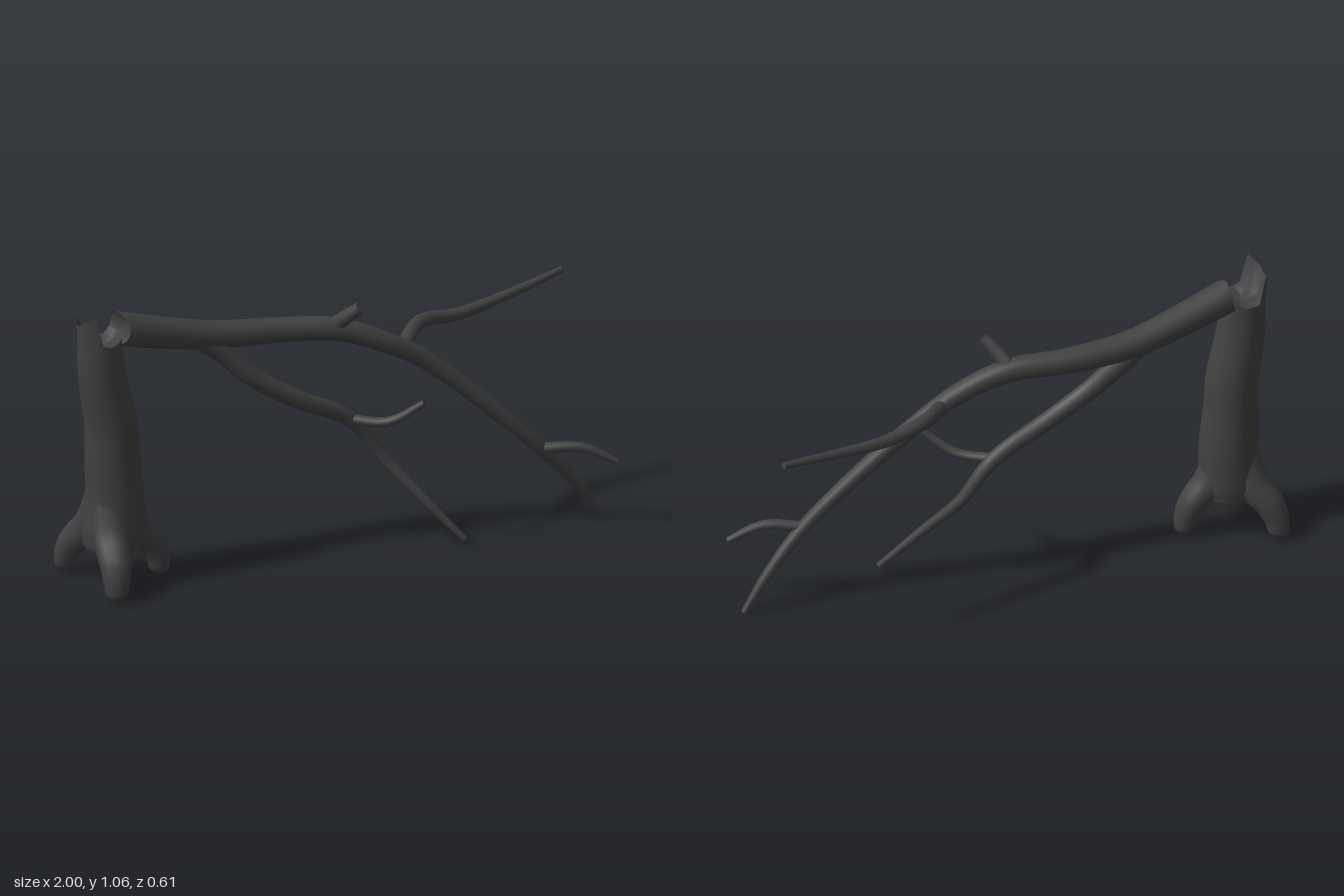
import * as THREE from 'three';

const bark = new THREE.MeshStandardMaterial({ color: 0x404040, side: THREE.DoubleSide });
const { smoothstep } = THREE.MathUtils;

// Tapered limb through knots [x, y, z, radius]; startRim / endRim(angle vector) give a torn, hollowed end.
function limb(name, knots, { sides = 10, steps = 4, startRim, endRim } = {}) {
  const curve = new THREE.CatmullRomCurve3(knots.map(k => new THREE.Vector3(k[0], k[1], k[2])), false, 'centripetal');
  const n = (knots.length - 1) * steps;
  const pos = [], idx = [], rings = [];
  const push = v => pos.push(v.x, v.y, v.z) / 3 - 1;
  const normal = new THREE.Vector3(0, 0, 1);

  for (let i = 0; i <= n; i++) {
    const t = i / n, centre = curve.getPoint(t), tangent = curve.getTangent(t);
    const k = Math.min(Math.floor(i / steps), knots.length - 2);
    const r = THREE.MathUtils.lerp(knots[k][3], knots[k + 1][3], i / steps - k);
    normal.addScaledVector(tangent, -normal.dot(tangent)).normalize();
    const side = tangent.clone().cross(normal);
    const rim = i === 0 ? startRim : i === n ? endRim : null;
    const ring = [];
    for (let j = 0; j < sides; j++) {
      const a = j / sides * Math.PI * 2;
      const dir = normal.clone().multiplyScalar(Math.cos(a)).addScaledVector(side, Math.sin(a));
      const v = centre.clone().addScaledVector(dir, r);
      if (rim) v.addScaledVector(tangent, rim(dir));
      ring.push(v);
    }
    rings.push({ ring, centre, tangent });
  }

  // Side wall
  rings.forEach(({ ring }) => ring.forEach(push));
  for (let i = 0; i < n; i++) for (let j = 0; j < sides; j++) {
    const a = i * sides + j, b = i * sides + (j + 1) % sides;
    idx.push(a, b, a + sides, b, b + sides, a + sides);
  }

  // End caps: flat, or sunk inside a torn rim
  [[rings[0], startRim, -1], [rings[n], endRim, 1]].forEach(([{ ring, centre, tangent }, torn, dir]) => {
    const outer = ring.map(push);
    const inner = ring.map(v => {
      const p = v.clone().lerp(centre, 0.35);
      if (torn) p.addScaledVector(tangent, -0.8 * p.clone().sub(centre).dot(tangent) - dir * 0.01);
      return push(p);
    });
    const mid = push(centre.clone().addScaledVector(tangent, torn ? -dir * 0.015 : 0));
    for (let j = 0; j < sides; j++) {
      const q = (j + 1) % sides;
      const tris = [[outer[j], outer[q], inner[j]], [outer[q], inner[q], inner[j]], [inner[j], inner[q], mid]];
      tris.forEach(([a, b, c]) => (dir > 0 ? idx.push(a, b, c) : idx.push(a, c, b)));
    }
  });

  const geo = new THREE.BufferGeometry();
  geo.setAttribute('position', new THREE.Float32BufferAttribute(pos, 3));
  geo.setIndex(idx);
  geo.computeVertexNormals();
  const mesh = new THREE.Mesh(geo, bark);
  mesh.name = name;
  return mesh;
}

export function createModel() {
  const tree = new THREE.Group();
  tree.name = 'brokenTree';

  // Trunk with a tall splinter left standing on one side of the break
  const trunk = limb('trunk', [
    [-0.85, 0.12, -0.105, 0.05], [-0.85, 0.15, -0.105, 0.105], [-0.845, 0.22, -0.105, 0.115],
    [-0.84, 0.35, -0.105, 0.107], [-0.85, 0.5, -0.105, 0.1], [-0.855, 0.62, -0.105, 0.096],
    [-0.88, 0.75, -0.105, 0.09], [-0.897, 0.87, -0.105, 0.084], [-0.9, 0.94, -0.105, 0.08],
  ], {
    sides: 20,
    endRim: d => smoothstep(-d.x, 0.25, 0.65) * (0.075 + 0.025 * d.z + 0.045 * Math.abs(d.z))
      + 0.025 * smoothstep(d.x, 0.5, 0.9) + 0.008 * Math.sin(d.z * 9),
  });

  // Three roots arching down to rounded feet
  const roots = new THREE.Group();
  roots.name = 'roots';
  roots.add(
    limb('frontRoot', [
      [-0.87, 0.34, -0.09, 0.07], [-0.89, 0.21, -0.035, 0.068], [-0.912, 0.135, 0.04, 0.058],
      [-0.922, 0.08, 0.066, 0.048], [-0.925, 0.035, 0.07, 0.04], [-0.925, 0.018, 0.07, 0.026],
    ], { sides: 12 }),
    limb('backRoot', [
      [-0.87, 0.34, -0.12, 0.07], [-0.895, 0.21, -0.175, 0.068], [-0.935, 0.14, -0.232, 0.055],
      [-0.952, 0.085, -0.255, 0.046], [-0.955, 0.04, -0.265, 0.039], [-0.955, 0.022, -0.265, 0.026],
    ], { sides: 12 }),
    limb('sideRoot', [
      [-0.83, 0.34, -0.105, 0.07], [-0.775, 0.21, -0.1, 0.068], [-0.71, 0.145, -0.09, 0.054],
      [-0.682, 0.09, -0.084, 0.045], [-0.673, 0.04, -0.082, 0.038], [-0.673, 0.022, -0.082, 0.026],
    ], { sides: 12 }),
  );

  // Fallen limb leaning on the break, torn at its thick end
  const fallen = new THREE.Group();
  fallen.name = 'fallenLimb';
  fallen.add(
    limb('mainLimb', [
      [-0.82, 0.97, -0.118, 0.062], [-0.66, 0.925, -0.115, 0.058], [-0.44, 0.875, -0.108, 0.052],
      [-0.2, 0.858, -0.075, 0.046], [0, 0.845, -0.015, 0.043], [0.17, 0.78, 0.03, 0.038],
      [0.33, 0.685, 0.055, 0.034], [0.57, 0.47, 0.125, 0.03], [0.74, 0.3, 0.168, 0.025],
      [0.87, 0.15, 0.177, 0.02], [0.965, 0.015, 0.18, 0.012],
    ], { sides: 14, startRim: d => -0.02 * d.y * d.y + 0.02 * smoothstep(d.z, 0.2, 0.9) }),
    limb('lowerBranch', [
      [-0.5, 0.87, -0.108, 0.035], [-0.42, 0.815, -0.1, 0.042], [-0.31, 0.705, -0.06, 0.037],
      [-0.15, 0.6, -0.028, 0.034], [0.06, 0.488, -0.01, 0.03], [0.17, 0.335, 0.025, 0.023],
      [0.28, 0.19, 0.115, 0.018], [0.405, 0.035, 0.205, 0.012],
    ]),
    limb('lowerTwig', [[0.05, 0.49, -0.01, 0.02], [0.16, 0.495, 0.09, 0.018], [0.26, 0.578, 0.172, 0.013]]),
    limb('upperStub', [[0, 0.86, -0.015, 0.03], [0.022, 0.905, 0.03, 0.026], [0.055, 0.95, 0.075, 0.022]]),
    limb('longTwig', [
      [0.24, 0.74, 0.04, 0.026], [0.375, 0.775, -0.08, 0.027], [0.545, 0.76, -0.11, 0.023],
      [0.81, 0.79, -0.145, 0.017], [0.995, 0.82, -0.172, 0.012],
    ]),
    limb('endTwig', [[0.73, 0.31, 0.168, 0.02], [0.855, 0.315, 0.24, 0.018], [0.97, 0.257, 0.292, 0.012]]),
  );

  tree.add(trunk, roots, fallen);
  return tree;
}
